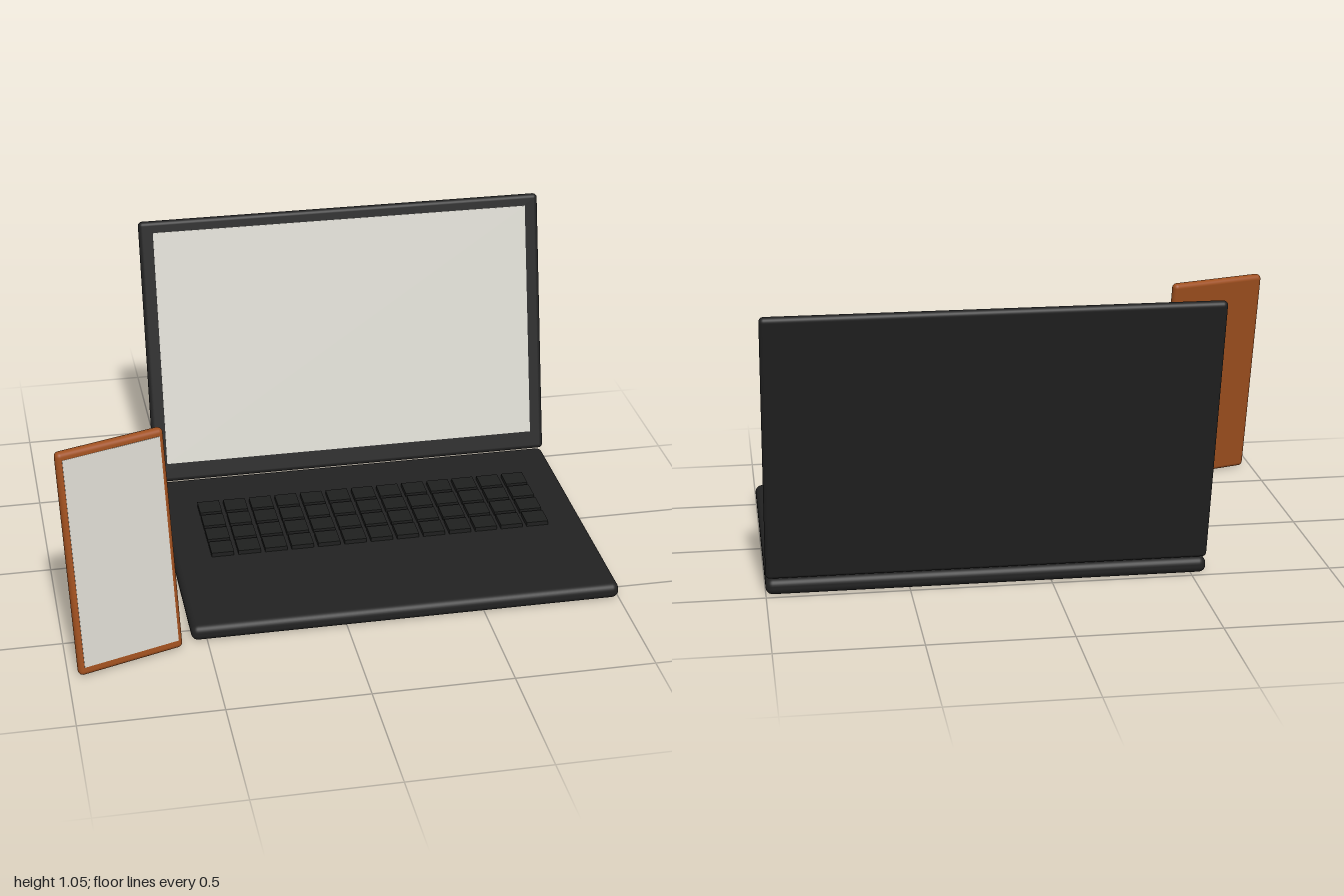
import * as THREE from 'three';
import { RoundedBoxGeometry } from 'three/addons/geometries/RoundedBoxGeometry.js';

const mat = (name, color) => {
  const m = new THREE.MeshStandardMaterial({ color });
  m.name = name;
  return m;
};

export function createModel() {
  const body = mat('charcoal', 0x222222);
  const keyMat = mat('key black', 0x1f201f);
  const glass = mat('screen grey', 0xd8d6ce);
  const copper = mat('copper brown', 0xa0501f);

  const add = (parent, name, geometry, material, x = 0, y = 0, z = 0) => {
    const mesh = new THREE.Mesh(geometry, material);
    mesh.name = name;
    mesh.position.set(x, y, z);
    parent.add(mesh);
    return mesh;
  };
  const rounded = (w, h, d, r) => new RoundedBoxGeometry(w, h, d, 4, r);

  const model = new THREE.Group();
  model.name = 'laptopAndPhone';

  // Laptop base
  const laptop = new THREE.Group();
  laptop.name = 'laptop';
  laptop.position.x = 0.2225;
  model.add(laptop);
  add(laptop, 'base', rounded(1.555, 0.058, 1.067, 0.025), body, 0, 0.029, 0.0465);

  // Keyboard: 4 rows of 13 keys
  const keyboard = new THREE.Group();
  keyboard.name = 'keyboard';
  laptop.add(keyboard);
  const keyGeo = new THREE.BoxGeometry(0.083, 0.022, 0.083);
  for (let row = 0; row < 4; row++) {
    for (let col = 0; col < 13; col++) {
      add(keyboard, 'key', keyGeo, keyMat, (col - 6) * 0.0995, 0.063, -0.0745 + (row - 1.5) * 0.0995);
    }
  }

  // Lid, leaning back, with its display
  const lid = new THREE.Group();
  lid.name = 'lid';
  lid.position.set(0, 0.5575, -0.593);
  lid.rotation.x = -0.2443;
  laptop.add(lid);
  add(lid, 'lidShell', rounded(1.555, 1.02, 0.034, 0.016), body);
  add(lid, 'display', new THREE.BoxGeometry(1.45, 0.904, 0.004), glass, 0, 0.015, 0.017);

  // Phone, turned towards the laptop and leaning back
  const phone = new THREE.Group();
  phone.name = 'phone';
  phone.position.set(-0.795, 0.411, 0.6);
  phone.rotation.set(-0.13, 0.31, 0, 'YXZ');
  model.add(phone);
  add(phone, 'phoneShell', rounded(0.39, 0.823, 0.038, 0.017), copper);
  add(phone, 'phoneScreen', new THREE.BoxGeometry(0.354, 0.765, 0.004), glass, 0, 0.003, 0.0185);

  return model;
}
